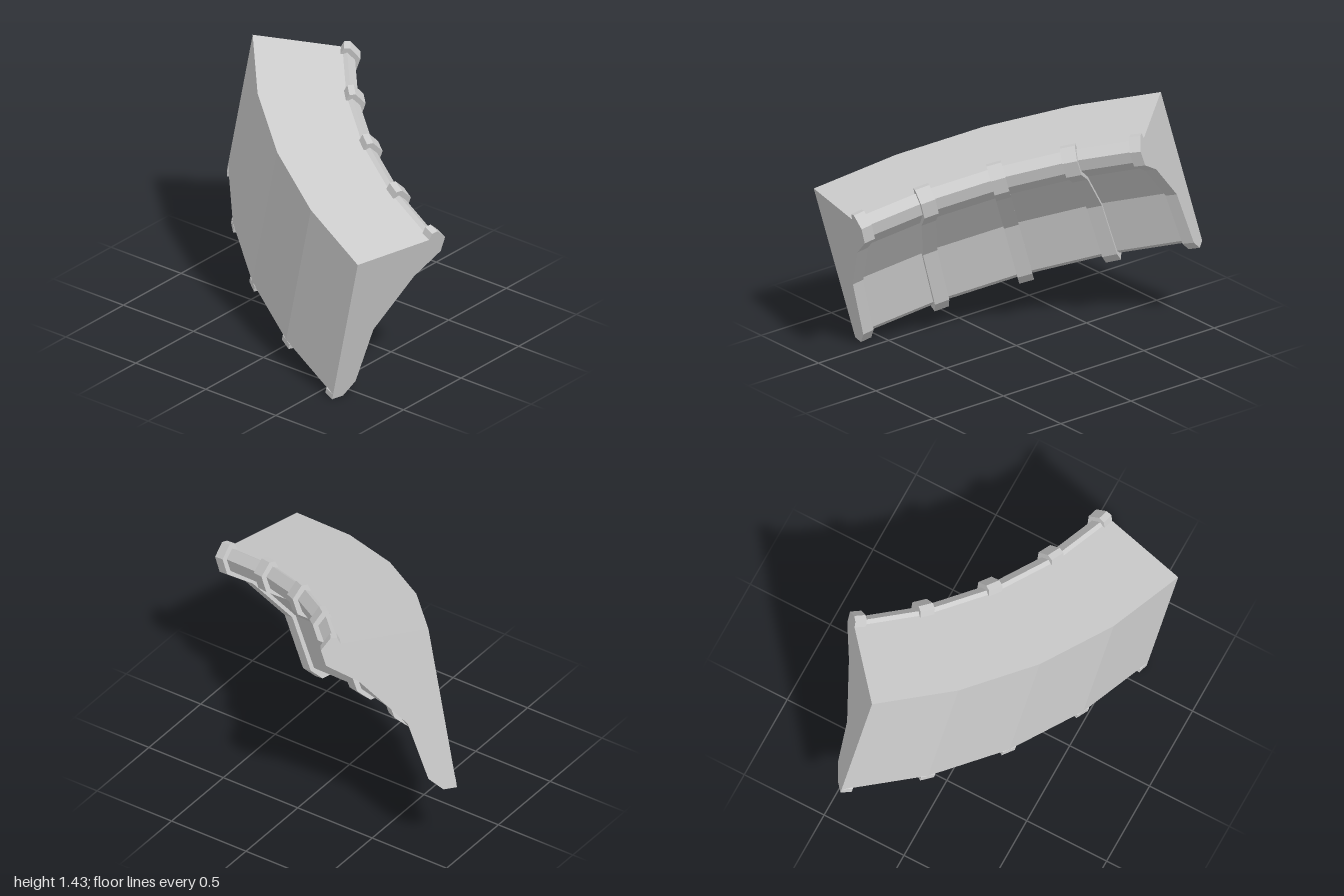
import * as THREE from 'three';

const HALF = THREE.MathUtils.degToRad(18.75); // half of the arc swept by the wall
const R = 3.09;                               // radius of the outer face
const BAYS = 4;

// Profiles: x = distance inward from the outer face, y = height relative to the top
const wallProfile = [
  [0, 0], [0.5, 0], [0.522, 0.015], [0.572, -0.03], [0.56, -0.105], [0.4, -0.235],
  [0.175, -0.54], [0.115, -0.885], [0.05, -0.935], [0, -0.935],
];
const ribProfile = [
  [0.485, -0.02], [0.505, 0.04], [0.54, 0.045], [0.605, -0.018], [0.592, -0.115], [0.43, -0.24],
  [0.206, -0.54], [0.147, -0.89], [0.075, -0.968], [0, -0.968],
  [0, -0.935], [0.03, -0.9], [0.09, -0.86], [0.15, -0.52], [0.37, -0.2], [0.5, -0.1],
];

const toShape = (pts) => new THREE.Shape(pts.map(([x, y]) => new THREE.Vector2(x, y)));

// Straight extrusion bent round the arc
function curvedWall() {
  const geo = new THREE.ExtrudeGeometry(toShape(wallProfile), { depth: 1, steps: BAYS, bevelEnabled: false });
  const p = geo.attributes.position;
  for (let i = 0; i < p.count; i++) {
    const a = (2 * p.getZ(i) - 1) * HALF;
    const r = R - p.getX(i);
    p.setX(i, R * Math.cos(HALF) - r * Math.cos(a));
    p.setZ(i, r * Math.sin(a));
  }
  geo.computeVertexNormals();
  return geo;
}

export function createModel() {
  const model = new THREE.Group();
  model.name = 'curvedRibbedWall';
  const material = new THREE.MeshStandardMaterial({ color: 0xcccccc, flatShading: true });

  const section = new THREE.Group();
  section.name = 'tiltedSection';

  // Wall with flat top, rail and sloping inner face
  const wall = new THREE.Mesh(curvedWall(), material);
  wall.name = 'wall';
  section.add(wall);

  // Ribs at every joint; the end ribs sit flush with the end faces
  for (let i = 0; i <= BAYS; i++) {
    const a = (2 * i / BAYS - 1) * HALF;
    const isEnd = i === 0 || i === BAYS;
    const width = isEnd ? 0.065 : 0.085;
    const geo = new THREE.ExtrudeGeometry(toShape(ribProfile), { depth: width, bevelEnabled: false });
    geo.translate(0, 0, i === 0 ? 0 : i === BAYS ? -width : -width / 2);
    const rib = new THREE.Mesh(geo, material);
    rib.name = 'rib' + (i + 1);
    rib.position.set(R * (Math.cos(HALF) - Math.cos(a)), 0, R * Math.sin(a));
    rib.rotation.y = a;
    section.add(rib);
  }

  // Tilt the section so that it climbs towards the back
  const along = new THREE.Vector3(-1.05, -0.49, 1.615).normalize();
  const up = new THREE.Vector3(-0.073, 0.964, 0.25);
  const inward = new THREE.Vector3().crossVectors(up, along).normalize();
  up.crossVectors(along, inward);
  section.quaternion.setFromRotationMatrix(new THREE.Matrix4().makeBasis(inward, up, along));
  section.position.set(-0.195, 1.18, 0.0475);
  model.add(section);
  return model;
}
